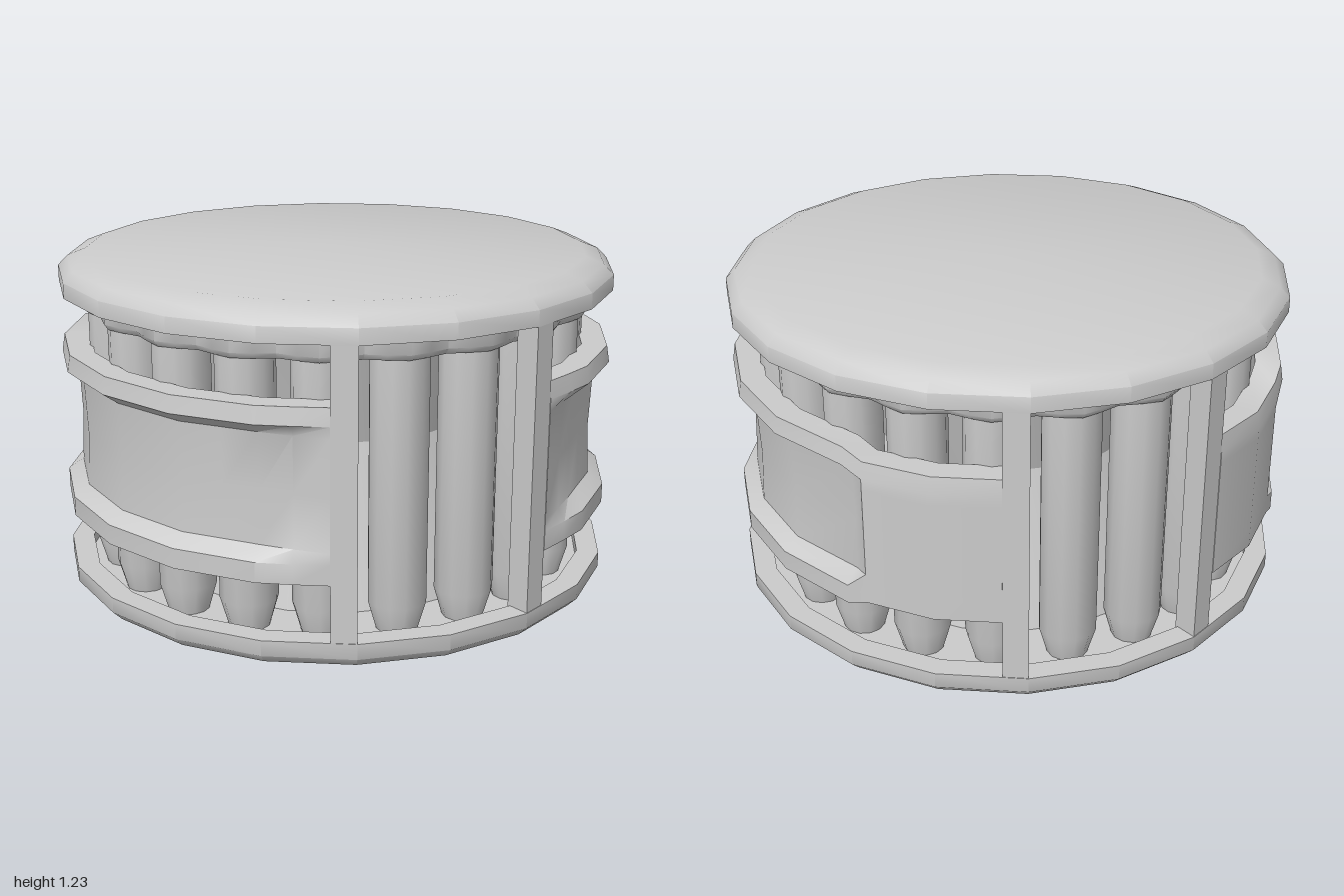
import * as THREE from 'three';
import { toCreasedNormals } from 'three/addons/utils/BufferGeometryUtils.js';

const H = 1.23, SIDES = 20, RAD = Math.PI / 180;
const material = new THREE.MeshStandardMaterial({ color: 0xcccccc });

function part(name, geometry, crease = 0.65) {
  const mesh = new THREE.Mesh(toCreasedNormals(geometry, crease), material);
  mesh.name = name;
  return mesh;
}

const lathe = (pts, sides) =>
  new THREE.LatheGeometry(pts.map(([r, y]) => new THREE.Vector2(r, y)), sides);

// Radius of the unit 20-sided polygon at a given angle (degrees from the front)
function polyRadius(deg) {
  const step = 360 / SIDES, a = ((deg % step) + step) % step;
  return Math.cos(step / 2 * RAD) / Math.cos((a - step / 2) * RAD);
}

// Sweep a closed [r, y] profile around the axis through a list of angles
function sweep(angles, profile) {
  const pos = [], idx = [];
  let n = 0;
  for (const a of angles) {
    const p = profile(a);
    n = p.length;
    for (const [r, y] of p) pos.push(r * Math.sin(a * RAD), y, r * Math.cos(a * RAD));
  }
  const last = (angles.length - 1) * n;
  for (let i = 0; i < last; i += n) {
    for (let j = 0; j < n; j++) {
      const k = (j + 1) % n;
      idx.push(i + j, i + n + j, i + n + k, i + j, i + n + k, i + k);
    }
  }
  for (let j = 1; j < n - 1; j++) {
    idx.push(0, j, j + 1, last, last + j + 1, last + j);
  }
  const g = new THREE.BufferGeometry();
  g.setAttribute('position', new THREE.Float32BufferAttribute(pos, 3));
  g.setIndex(idx);
  return g;
}

// Side band: grooved along the side, plain and a little narrower at the back
function bandProfile(angle) {
  const a = Math.abs(angle), R = polyRadius(angle), back = a >= 130;
  const depth = back ? 0 : 0.055 * Math.min(1, (a - 23) / 14);
  const lo = back ? 0.34 : 0.32, hi = back ? 0.87 : 0.91;
  return [
    [R - 0.1, lo], [R, lo], [R, lo + 0.07],
    [R - depth, lo + 0.11], [R - depth * 1.15, (lo + hi) / 2], [R - depth, hi - 0.1],
    [R, hi - 0.06], [R - 0.01, hi], [R - 0.1, hi],
  ];
}

export function createModel() {
  const model = new THREE.Group();
  model.name = 'rollerDrum';

  // Caps with bevelled edges and a recessed inner face
  const cap = [[0, 1.15], [0.92, 1.15], [0.92, 1.11], [1, 1.11], [1, 1.165],
    [0.965, 1.2], [0.9, 1.225], [0, H]];
  model.add(part('topCap', lathe(cap, SIDES), 0.8));
  model.add(part('bottomCap', lathe(cap.map(([r, y]) => [r, H - y]).reverse(), SIDES), 0.8));

  // Waisted core behind the rollers
  model.add(part('core', lathe([[0.68, 0.07], [0.52, 0.64], [0.68, 1.16]], SIDES), 0.4));

  // Scalloped ring above the rollers
  const ringAngles = Array.from({ length: 81 }, (_, i) => i * 4.5 + 1.8);
  model.add(part('rollerRing', sweep(ringAngles, (a) => {
    const r = 0.9 + 0.02 * Math.cos(SIDES * (a - 10.8) * RAD);
    return [[0.66, 1.03], [r - 0.015, 1.03], [r, 1.05], [r, 1.155], [0.66, 1.155]];
  })));

  // Rollers with tapered feet
  const rollers = new THREE.Group();
  rollers.name = 'rollers';
  const rollerGeometry = lathe([[0, 0.075], [0.07, 0.075], [0.1, 0.18], [0.1, 1.05], [0, 1.05]], 12);
  for (let i = 0; i < SIDES; i++) {
    const a = (10.8 + i * 18) * RAD;
    const roller = part('roller', rollerGeometry);
    roller.position.set(0.8 * Math.sin(a), 0, 0.8 * Math.cos(a));
    roller.rotation.y = a;
    rollers.add(roller);
  }
  model.add(rollers);

  // Posts framing the front and back openings
  for (const start of [18, -23, 157, 198]) {
    model.add(part('post', sweep([start, start + 5], (a) => {
      const R = polyRadius(a);
      return [[R - 0.09, 0.09], [R - 0.002, 0.09], [R - 0.002, 1.14], [R - 0.09, 1.14]];
    })));
  }

  // Mirrored side bands
  const angles = [23, 30, 37, 45, 54, 72, 90, 108, 126, 130, 144, 157];
  model.add(part('leftBand', sweep(angles, bandProfile)));
  model.add(part('rightBand', sweep(angles.map((a) => -a).reverse(), bandProfile)));

  return model;
}
